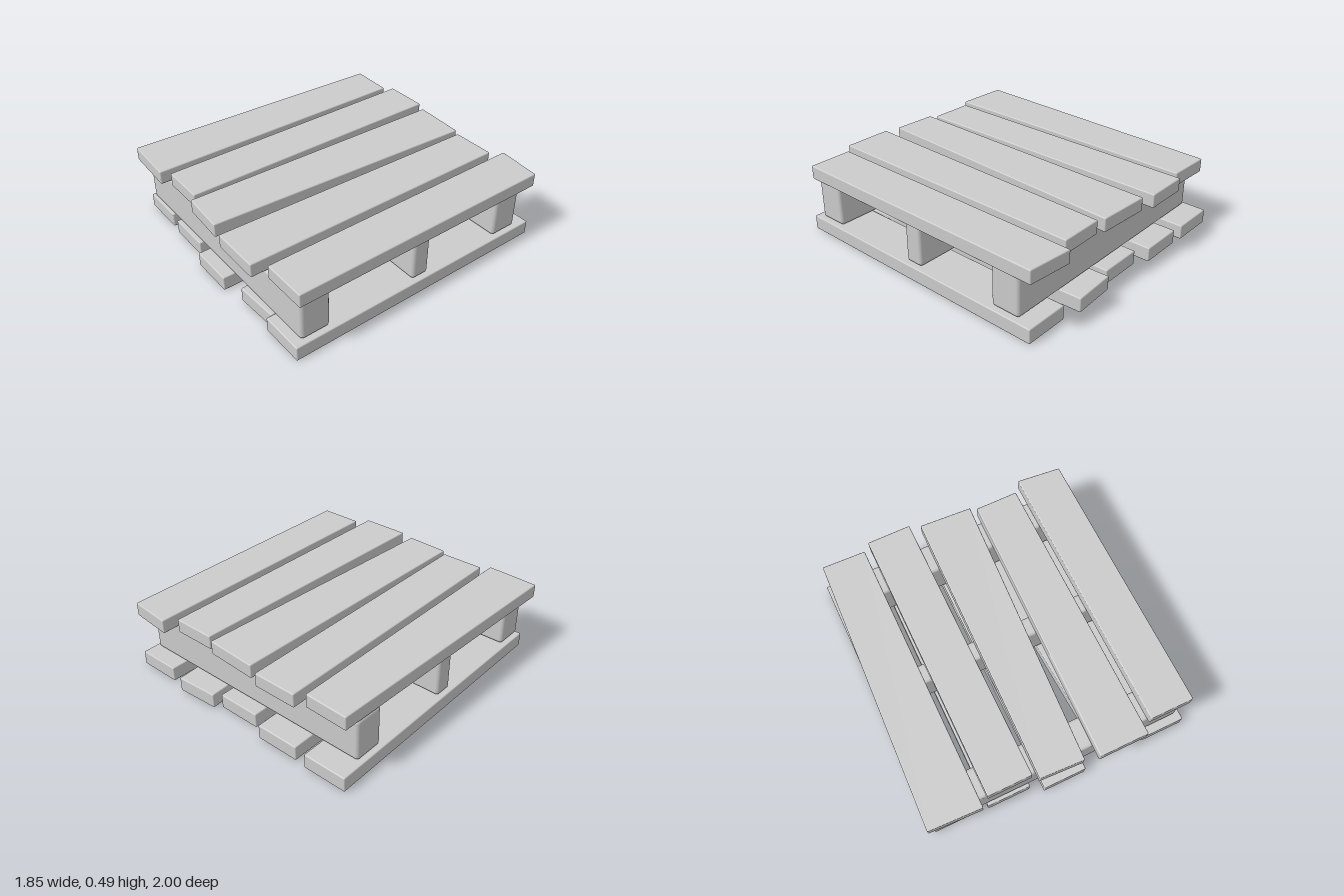
import * as THREE from 'three';
import { RoundedBoxGeometry } from 'three/addons/geometries/RoundedBoxGeometry.js';

const material = new THREE.MeshStandardMaterial({ color: 0xcccccc });

// Softened plank whose plan follows four [x, z] corners:
// back right, back left, front left, front right (as seen from above, clockwise)
function plank(name, [a, b, c, d], y0, y1, radius) {
  const width = (b[0] - a[0] + c[0] - d[0]) / 2;
  const length = (d[1] - a[1] + c[1] - b[1]) / 2;
  const geometry = new RoundedBoxGeometry(width, y1 - y0, length, 3, radius);
  const p = geometry.attributes.position;
  for (let i = 0; i < p.count; i++) {
    const u = p.getX(i) / width + 0.5;
    const v = p.getZ(i) / length + 0.5;
    const blend = (k) => (1 - v) * ((1 - u) * a[k] + u * b[k]) + v * ((1 - u) * d[k] + u * c[k]);
    p.setXYZ(i, blend(0), p.getY(i) + (y0 + y1) / 2, blend(1));
  }
  const mesh = new THREE.Mesh(geometry, material);
  mesh.name = name;
  return mesh;
}

const rect = (x0, x1, z0, z1) => [[x0, z0], [x1, z0], [x1, z1], [x0, z1]];

export function createModel() {
  const pallet = new THREE.Group();
  pallet.name = 'pallet';

  // Uneven deck boards on top
  const deck = [
    [[-0.86, -0.95], [-0.56, -0.94], [-0.565, 0.965], [-0.93, 0.95]],
    rect(-0.515, -0.21, -0.99, 0.915),
    [[-0.14, -0.955], [0.225, -0.935], [0.125, 0.97], [-0.18, 0.955]],
    [[0.265, -0.91], [0.565, -0.91], [0.56, 0.995], [0.22, 0.995]],
    [[0.62, -0.985], [0.925, -0.955], [0.925, 0.92], [0.62, 0.92]],
  ];
  deck.forEach((q, i) => pallet.add(plank(`deckBoard${i + 1}`, q, 0.39, 0.485, 0.008)));

  // Bottom boards, one of them askew
  const base = [
    rect(-0.895, -0.59, -1, 0.905),
    rect(-0.515, -0.21, -0.99, 0.915),
    rect(-0.13, 0.175, -0.935, 0.97),
    [[0.21, -0.975], [0.51, -0.99], [0.62, 0.915], [0.315, 0.93]],
    rect(0.62, 0.925, -0.955, 0.95),
  ];
  base.forEach((q, i) => pallet.add(plank(`bottomBoard${i + 1}`, q, 0, 0.1, 0.008)));

  // Three cross beams between the layers
  const beams = [['frontBeam', 0.69, 0.895], ['middleBeam', -0.07, 0.06], ['backBeam', -0.85, -0.645]];
  for (const [name, z0, z1] of beams) {
    pallet.add(plank(name, rect(-0.865, 0.895, z0, z1), 0.102, 0.388, 0.024));
  }
  return pallet;
}
